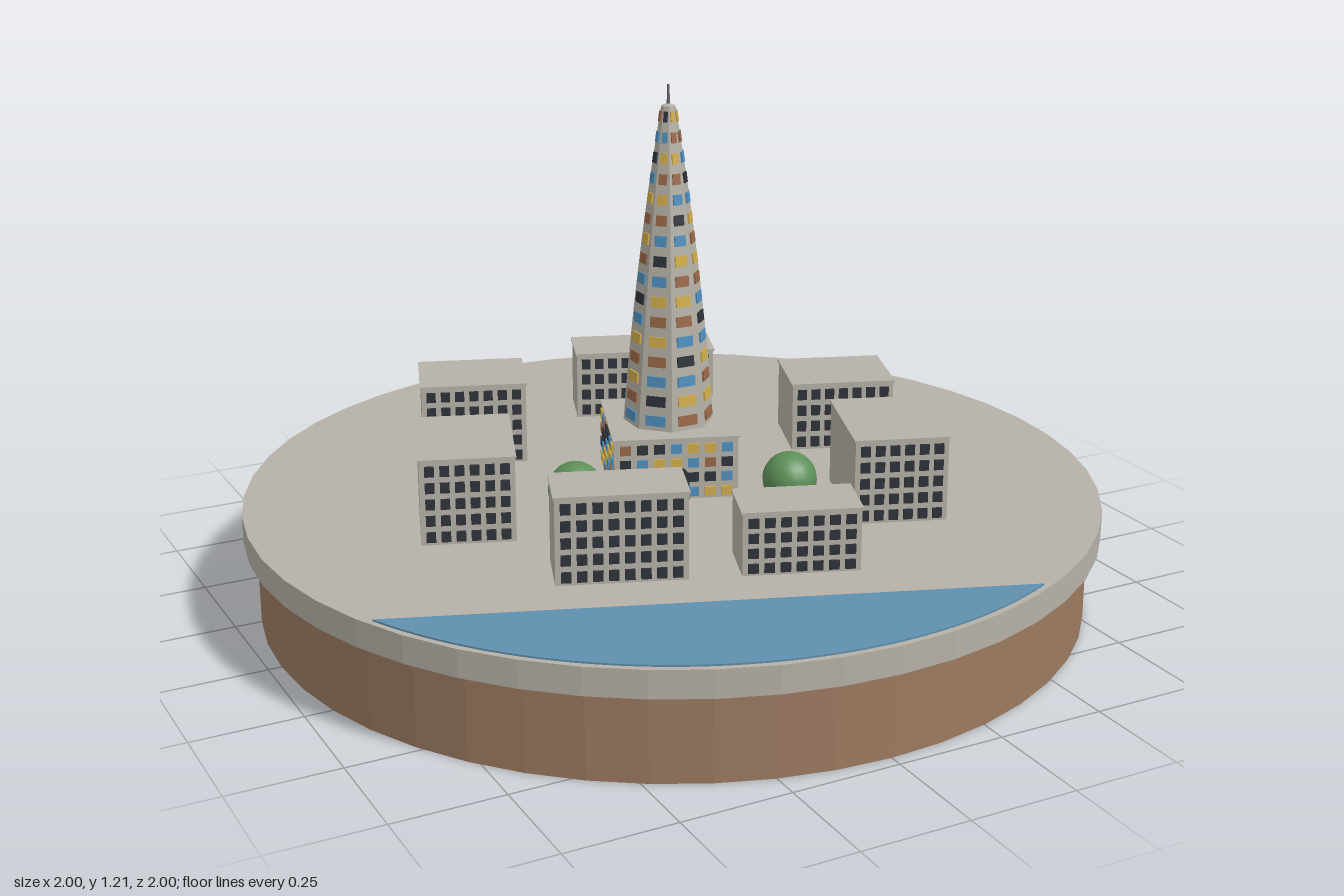
import * as THREE from 'three';
import { mergeGeometries } from 'three/addons/utils/BufferGeometryUtils.js';

const mat = (name, color) => {
  const m = new THREE.MeshStandardMaterial({ color });
  m.name = name;
  return m;
};

const GROUND = 0.263;            // top of the paved slab
const TURN = -20 * Math.PI / 180; // the street grid is turned on the disc

const flat = (g) => {
  const f = g.index ? g.toNonIndexed() : g;
  f.computeVertexNormals();
  return f;
};

export function createModel() {
  const stone = mat('pale stone', 0xb5b1a7);
  const earth = mat('brown earth', 0x9c7a60);
  const water = mat('river blue', 0x5f8fad);
  const leaf = mat('leaf green', 0x5d8f57);
  const dark = mat('dark glass', 0x2e323a);
  const blue = mat('blue glass', 0x4f8fbd);
  const yellow = mat('yellow panel', 0xd0ac4a);
  const rust = mat('rust panel', 0x9a6848);
  const metal = mat('mast grey', 0x66666a);
  const panelMats = [blue, yellow, rust, dark];

  const model = new THREE.Group();
  const add = (parent, name, geometry, material, x = 0, y = 0, z = 0) => {
    const m = new THREE.Mesh(geometry, material);
    m.name = name;
    m.position.set(x, y, z);
    parent.add(m);
    return m;
  };
  const group = (name, x, y, z, turn = 0) => {
    const g = new THREE.Group();
    g.name = name;
    g.position.set(x, y, z);
    g.rotation.y = turn;
    model.add(g);
    return g;
  };

  // Round base and paved slab
  add(model, 'earthBase', flat(new THREE.CylinderGeometry(0.97, 0.97, 0.2, 48)), earth, 0, 0.1, 0);
  add(model, 'pavedSlab', flat(new THREE.CylinderGeometry(1, 1, GROUND - 0.2, 48)), stone, 0, (GROUND + 0.2) / 2, 0);

  // River: a circle segment cut off by a straight bank
  const half = Math.acos(0.692 / 0.985);
  const segment = new THREE.Shape();
  segment.absarc(0, 0, 0.985, -Math.PI / 2 - half, -Math.PI / 2 + half, false);
  segment.closePath();
  const river = new THREE.ExtrudeGeometry(segment, { depth: 0.004, bevelEnabled: false, curveSegments: 24 });
  river.rotateX(-Math.PI / 2);
  add(group('riverGroup', 0, GROUND, 0, TURN), 'river', river, water);

  // Grid of thin window plates on a wall facing +z at distance d
  const windowGrid = (w, h, d, cols, rows) => {
    const list = [];
    for (let r = 0; r < rows; r++) {
      for (let c = 0; c < cols; c++) {
        const g = new THREE.BoxGeometry(w / cols * 0.64, h / rows * 0.62, 0.006);
        g.translate(((c + 0.5) / cols - 0.5) * w, (r + 0.5) * h / rows, d);
        list.push(g);
      }
    }
    return list;
  };

  // Plain block with a thin roof slab
  const block = (g, w, h, d) => {
    add(g, 'walls', new THREE.BoxGeometry(w, h, d), stone, 0, h / 2, 0);
    add(g, 'roof', new THREE.BoxGeometry(w + 0.006, 0.005, d + 0.006), stone, 0, h - 0.0025, 0);
  };

  // Surrounding buildings: x, z, width, depth, height
  [
    [0.187, -0.529, 0.35, 0.142, 0.17],
    [-0.33, -0.422, 0.25, 0.195, 0.2],
    [-0.519, -0.008, 0.21, 0.28, 0.2],
    [0.516, -0.112, 0.25, 0.197, 0.17],
    [0.393, 0.323, 0.213, 0.28, 0.2],
    [-0.337, 0.404, 0.284, 0.142, 0.2],
    [0.024, 0.537, 0.257, 0.137, 0.145],
  ].forEach(([x, z, w, d, h], i) => {
    const g = group('building' + (i + 1), x, GROUND, z, TURN);
    block(g, w, h, d);
    const cells = windowGrid(w - 0.012, h - 0.008, d / 2 + 0.002, Math.round(w / 0.036), Math.round(h / 0.039));
    add(g, 'windows', mergeGeometries(cells), dark);
  });

  // Sort coloured plates into one mesh per colour
  const addPanels = (parent, name, plates) => panelMats.forEach((m, k) => {
    const list = plates.filter((p) => p.k === k).map((p) => p.g);
    if (list.length) add(parent, name, mergeGeometries(list), m);
  });

  // Podium with coloured windows on its front and right walls
  const px = 0.01, pz = -0.037, pw = 0.288, ph = 0.15;
  const podium = group('podium', px, GROUND, pz, TURN);
  block(podium, pw, ph, pw);
  const podiumPlates = [];
  [0, -Math.PI / 2].forEach((turn, s) => {
    windowGrid(pw - 0.012, ph - 0.008, pw / 2 + 0.002, 7, 4).forEach((g, i) => {
      g.rotateY(turn);
      podiumPlates.push({ g, k: [0, 1, 3, 2, 1, 0, 3][(i * 3 + s + Math.floor(i / 7)) % 7] });
    });
  });
  addPanels(podium, 'podiumWindows', podiumPlates);

  // Arched entrance
  const arch = new THREE.Shape();
  arch.moveTo(-0.03, 0);
  arch.lineTo(0.03, 0);
  arch.lineTo(0.03, 0.05);
  arch.absarc(0, 0.05, 0.03, 0, Math.PI, false);
  arch.closePath();
  add(podium, 'entrance', new THREE.ExtrudeGeometry(arch, { depth: 0.007, bevelEnabled: false, curveSegments: 8 }), dark, 0, 0, pw / 2);

  // Eight-sided tapering tower with slightly bowed sides
  const y0 = GROUND + ph, y1 = 1.16, th = y1 - y0;
  const apothem = (t) => 0.098 - 0.053 * t - 0.03 * t * t;
  const profile = [];
  for (let i = 0; i <= 12; i++) {
    profile.push(new THREE.Vector2(apothem(i / 12) / Math.cos(Math.PI / 8), th * i / 12));
  }
  profile.push(new THREE.Vector2(0, th + 0.006));
  const tower = group('tower', px, y0, pz);
  add(tower, 'towerShaft', flat(new THREE.LatheGeometry(profile, 8, Math.PI / 8)), stone);

  // Coloured panels on the five front and side faces
  const rows = 16, plates = [];
  for (let f = -2; f <= 2; f++) {
    for (let r = 0; r < rows; r++) {
      const t = (r + 0.5) / rows, a = apothem(t);
      const g = new THREE.BoxGeometry(a * 2 * Math.tan(Math.PI / 8) * 0.6, th / rows * 0.52, 0.006);
      g.rotateX(-Math.atan((0.053 + 0.06 * t) / th));
      g.translate(0, t * th, a + 0.001);
      g.rotateY(f * Math.PI / 4);
      plates.push({ g, k: [0, 1, 2, 0, 1, 3, 2][(r * 2 + (f + 2) * 3) % 7] });
    }
  }
  addPanels(tower, 'towerPanels', plates);
  add(tower, 'mast', new THREE.CylinderGeometry(0.003, 0.004, 0.05, 8), metal, 0, th + 0.023, 0);

  // Round trees
  [[-0.315, 0.14], [0.142, 0.305]].forEach(([x, z]) => {
    const g = group('tree', x, GROUND, z);
    add(g, 'trunk', new THREE.CylinderGeometry(0.013, 0.016, 0.06, 8), earth, 0, 0.03, 0);
    add(g, 'crown', new THREE.SphereGeometry(0.062, 20, 14), leaf, 0, 0.09, 0);
  });

  return model;
}
